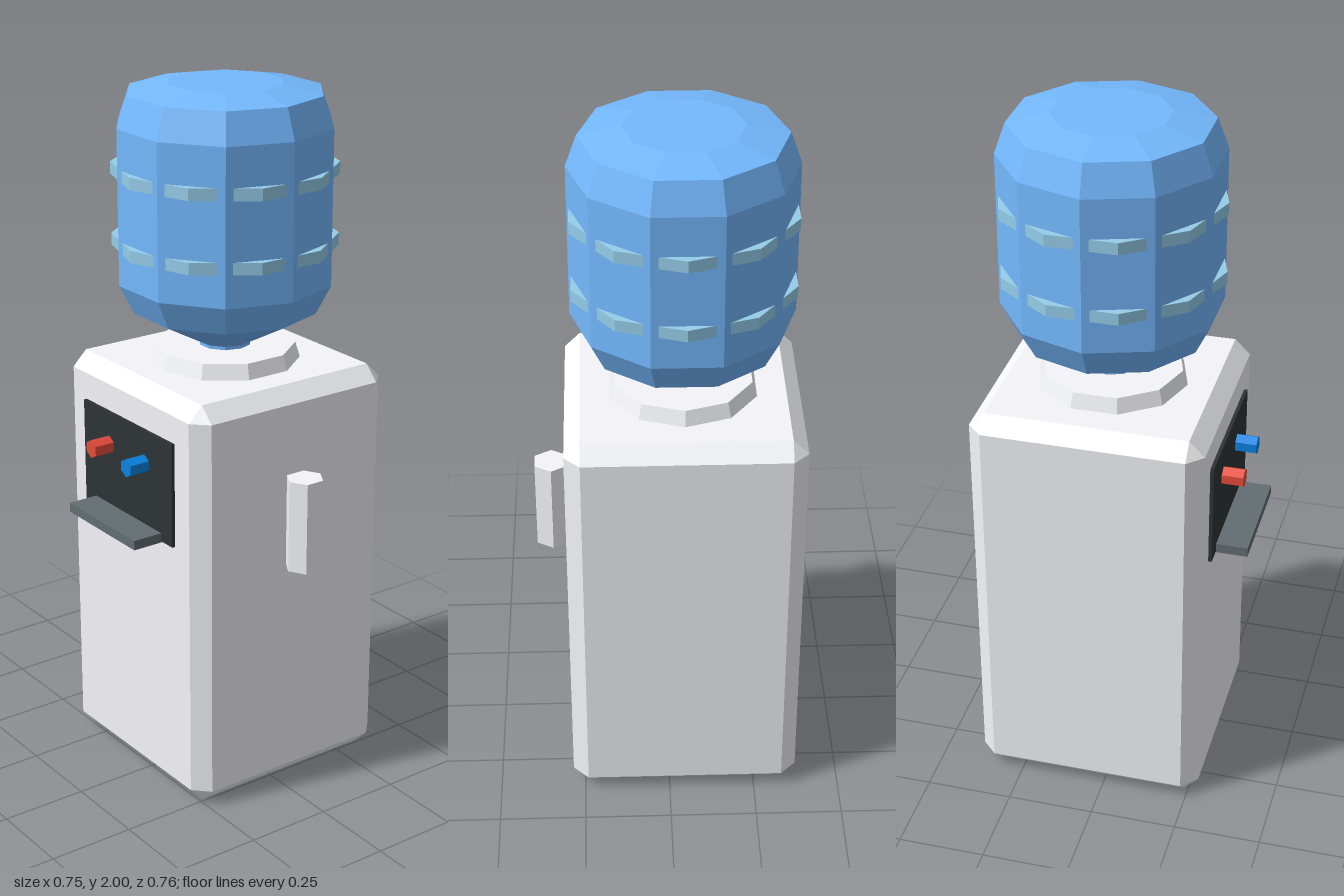
import * as THREE from 'three';
import { ConvexGeometry } from 'three/addons/geometries/ConvexGeometry.js';

const CX = -0.045, CZ = -0.05; // axis shared by cabinet and bottle

const mat = (color) => new THREE.MeshStandardMaterial({ color, flatShading: true });

// Box with a flat chamfer on every edge: hull of three points per corner
function chamferBox(w, h, d, c) {
  const pts = [];
  for (const sx of [-1, 1]) for (const sy of [-1, 1]) for (const sz of [-1, 1])
    for (let axis = 0; axis < 3; axis++) {
      const inset = [c, c, c];
      inset[axis] = 0;
      pts.push(new THREE.Vector3(
        sx * (w / 2 - inset[0]), sy * (h / 2 - inset[1]), sz * (d / 2 - inset[2])));
    }
  return new ConvexGeometry(pts);
}

function lathe(profile, sides, start = 0) {
  return new THREE.LatheGeometry(
    profile.map(([r, y]) => new THREE.Vector2(r, y)), sides, start);
}

export function createModel() {
  const model = new THREE.Group();
  model.name = 'waterCooler';
  const add = (name, geometry, material, x, y, z) => {
    const mesh = new THREE.Mesh(geometry, material);
    mesh.name = name;
    mesh.position.set(x, y, z);
    model.add(mesh);
    return mesh;
  };
  const shell = mat(0xf5f6fa);

  // Cabinet, bottle seat and cup holder on the side
  add('cabinet', chamferBox(0.66, 1.212, 0.66, 0.044), shell, CX, 0.606, CZ);
  add('bottleSeat', new THREE.CylinderGeometry(0.2, 0.217, 0.055, 10), shell, CX, 1.228, CZ);
  add('cupHolder', new THREE.CylinderGeometry(0.054, 0.054, 0.27, 6), shell, 0.328, 0.827, CZ);

  // Upturned bottle, ten sided
  const bottle = [
    [0, 1.24], [0.075, 1.24], [0.075, 1.265], [0.265, 1.365], [0.308, 1.45],
    [0.308, 1.89], [0.277, 1.977], [0.163, 2], [0, 2],
  ];
  add('bottle', lathe(bottle, 10, Math.PI / 2), mat(0x74b9ff), CX, 0, CZ);

  // Ribs, turned half a facet so only their corners break through the bottle
  const rib = [[0.28, -0.017], [0.317, -0.017], [0.317, 0.017], [0.28, 0.017], [0.28, -0.017]];
  const ribMat = mat(0x95cdea);
  for (const y of [1.56, 1.762]) add('bottleRib', lathe(rib, 10), ribMat, CX, y, CZ);

  // Dispenser panel and drip tray
  add('panel', new THREE.BoxGeometry(0.437, 0.305, 0.02), mat(0x2d3436), CX, 0.937, 0.28);
  add('dripTray', new THREE.BoxGeometry(0.33, 0.028, 0.11), mat(0x636e72), CX, 0.795, 0.325);

  // Hot and cold taps
  for (const [name, x, color] of [['hotTap', -0.135, 0xe74c3c], ['coldTap', 0.041, 0x0984e3]]) {
    const tap = add(name, new THREE.CylinderGeometry(0.027, 0.027, 0.07, 6), mat(color), x, 0.992, 0.316);
    tap.rotation.x = Math.PI / 2;
  }
  return model;
}
